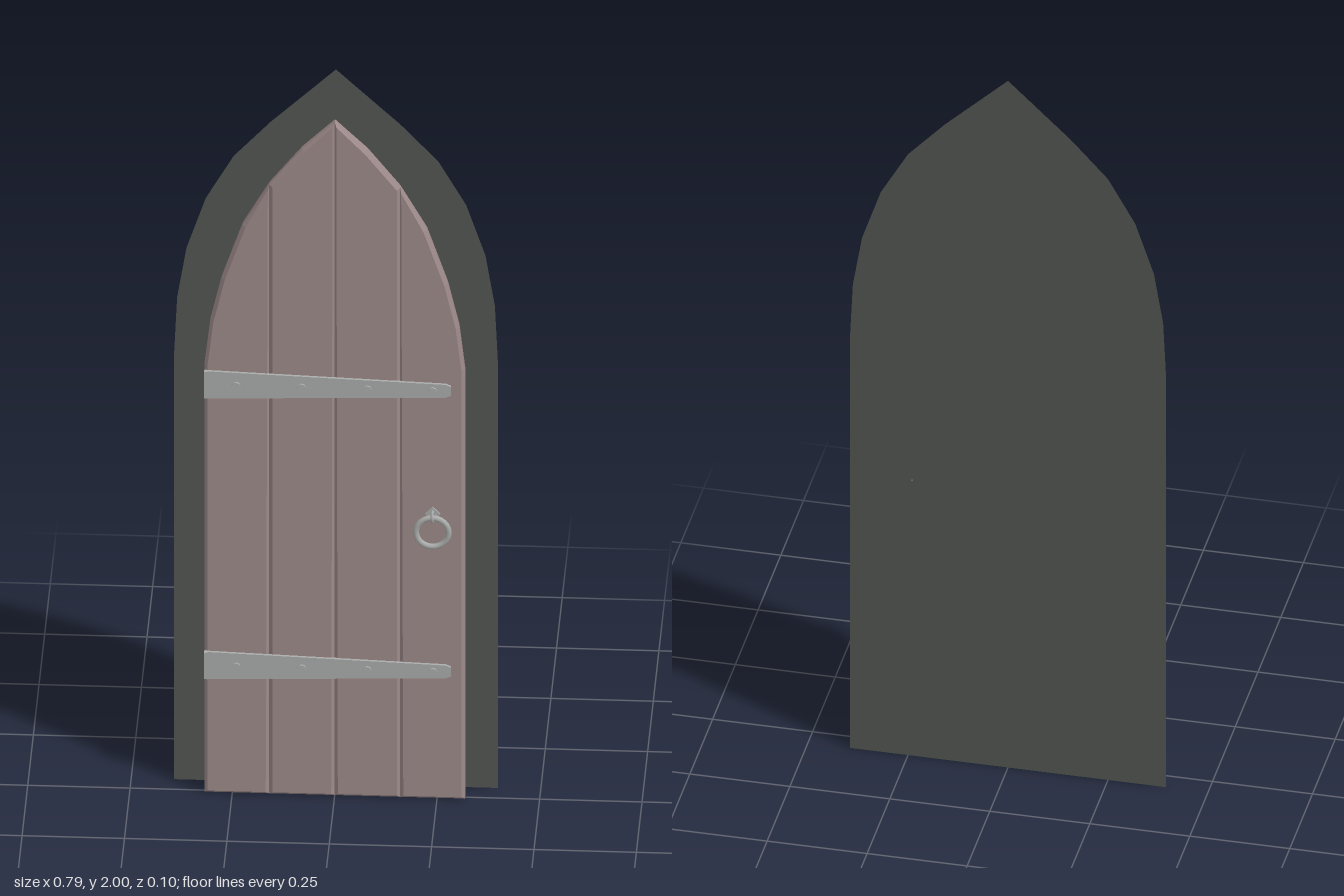
import * as THREE from 'three';

const wood = new THREE.MeshStandardMaterial({ name: 'dusty wood', color: 0x9e8a8a });
const iron = new THREE.MeshStandardMaterial({ name: 'grey iron', color: 0xa9acaa });
const stone = new THREE.MeshStandardMaterial({ name: 'dark surround', color: 0x535553, side: THREE.DoubleSide });

// Right half of the pointed arches, from spring line to apex
const OUTER = [[0.395, 1.2], [0.388, 1.35], [0.365, 1.49], [0.318, 1.63], [0.25, 1.75], [0.158, 1.85], [0, 2]];
const INNER = [[0.318, 1.2], [0.304, 1.32], [0.276, 1.44], [0.225, 1.59], [0.16, 1.705], [0.08, 1.807], [0, 1.885]];

const toShape = pts => new THREE.Shape(pts.map(([x, y]) => new THREE.Vector2(x, y)));

function add(group, name, geometry, material, x = 0, y = 0, z = 0) {
  const mesh = new THREE.Mesh(geometry, material);
  mesh.name = name;
  mesh.position.set(x, y, z);
  group.add(mesh);
  return mesh;
}

// One chamfered plank between two arch points; side mirrors it in x
function plank(from, to, side) {
  const arch = INNER.slice(from, to + 1);
  const inner = arch[arch.length - 1][0];
  let pts = [[inner, 0], [arch[0][0], 0], ...arch];
  if (side < 0) pts = pts.map(([x, y]) => [-x, y]).reverse();
  const g = new THREE.ExtrudeGeometry(toShape(pts), {
    depth: 0.014, bevelEnabled: true, bevelSegments: 1,
    bevelThickness: 0.009, bevelSize: 0.008, bevelOffset: -0.008,
  });
  return g.translate(0, 0, -0.007);
}

// Tapered hinge strap with its nails, on the front (side 1) or back (side -1)
function strap(y, side) {
  const group = new THREE.Group();
  group.name = 'hingeStrap';
  const shape = toShape([
    [-0.312, -0.038], [0.272, -0.018], [0.285, -0.012],
    [0.285, 0.012], [0.272, 0.018], [-0.312, 0.038],
  ]);
  add(group, 'strapPlate', new THREE.ExtrudeGeometry(shape, { depth: 0.008, bevelEnabled: false }),
    iron, 0, y, side > 0 ? 0.015 : -0.023);
  for (const x of [-0.24, -0.08, 0.08, 0.24]) {
    add(group, 'nail', new THREE.CylinderGeometry(0.011, 0.011, 0.006, 8).rotateX(Math.PI / 2),
      iron, x, y, side * 0.025);
  }
  if (side > 0) add(group, 'hingeKnuckle', new THREE.BoxGeometry(0.008, 0.074, 0.013), iron, -0.314, y, 0.019);
  return group;
}

// Ring pull hanging from a small eye on a diamond plate
function ringPull(side) {
  const group = new THREE.Group();
  group.name = 'ringPull';
  add(group, 'ring', new THREE.TorusGeometry(0.04, 0.0075, 8, 24), iron, 0.24, 0.76, side * 0.036);
  add(group, 'eye', new THREE.TorusGeometry(0.013, 0.004, 6, 14).rotateY(Math.PI / 2),
    iron, 0.24, 0.802, side * 0.034);
  add(group, 'backPlate', new THREE.BoxGeometry(0.026, 0.026, 0.005).rotateZ(Math.PI / 4),
    iron, 0.24, 0.802, side * 0.018);
  return group;
}

export function createModel() {
  const model = new THREE.Group();
  model.name = 'archedDoor';

  // Flat surround behind the door
  const left = OUTER.slice(0, -1).reverse().map(([x, y]) => [-x, y]);
  add(model, 'surround', new THREE.ShapeGeometry(
    toShape([[-0.395, 0], [0.395, 0], ...OUTER, ...left])), stone, 0, 0, -0.05);

  // Four planks
  for (const side of [-1, 1]) {
    add(model, 'outerPlank', plank(0, 4, side), wood);
    add(model, 'innerPlank', plank(4, 6, side), wood);
  }

  // Ironwork on both faces
  for (const side of [-1, 1]) {
    model.add(strap(1.148, side), strap(0.362, side), ringPull(side));
  }
  return model;
}
